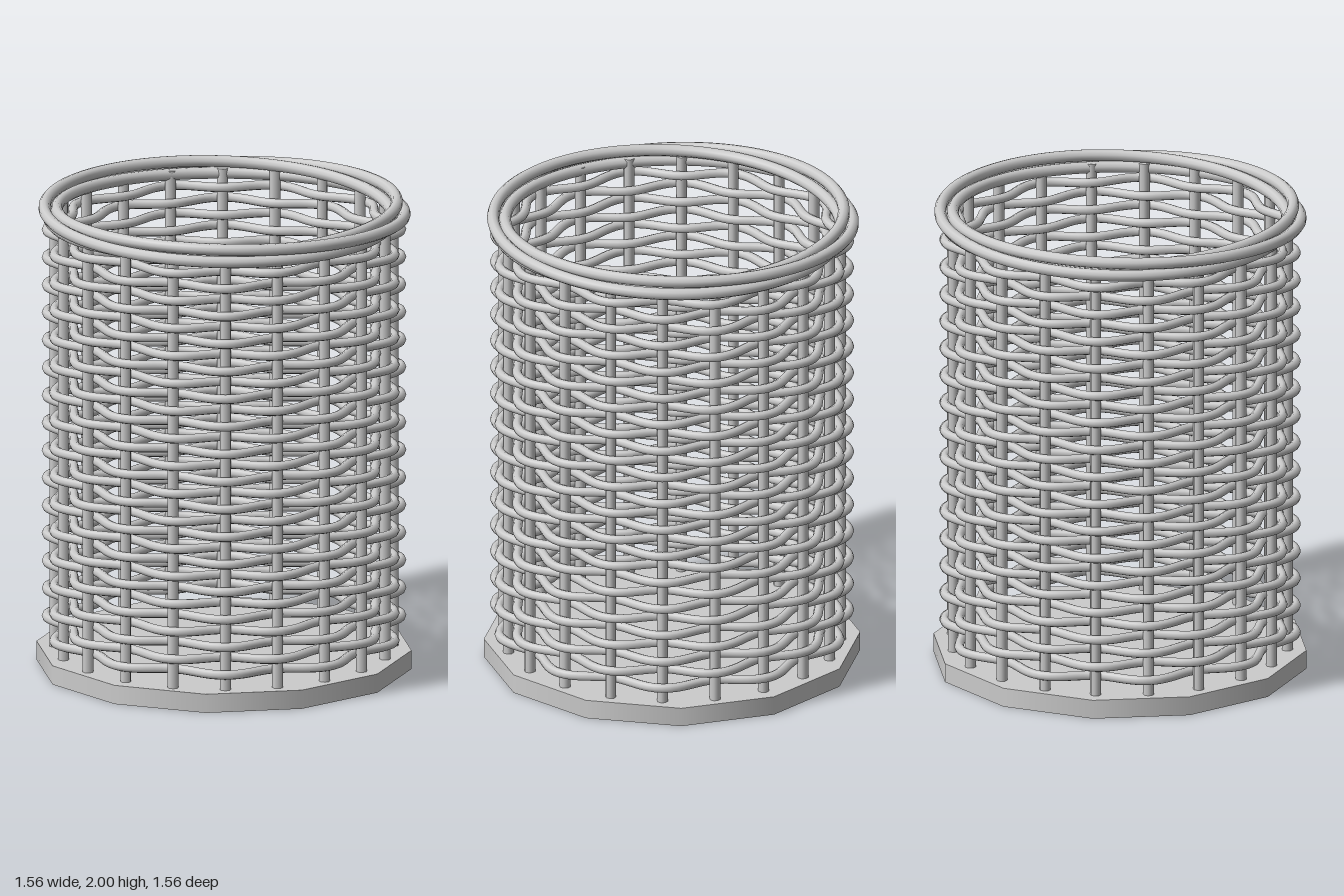
import * as THREE from 'three';

const material = new THREE.MeshStandardMaterial({ color: 0xcccccc });
const STAKES = 20, ROWS = 30, RADIUS = 0.7;

// Closed loop around the y axis; rule(angle) gives [radius, height]
class RingCurve extends THREE.Curve {
  constructor(rule) {
    super();
    this.rule = rule;
  }
  getPoint(t, target = new THREE.Vector3()) {
    const angle = t * Math.PI * 2;
    const [r, y] = this.rule(angle);
    return target.set(r * Math.cos(angle), y, r * Math.sin(angle));
  }
}

function addMesh(parent, name, geometry) {
  const mesh = new THREE.Mesh(geometry, material);
  mesh.name = name;
  parent.add(mesh);
  return mesh;
}

function addGroup(parent, name) {
  const group = new THREE.Group();
  group.name = name;
  parent.add(group);
  return group;
}

function addRing(parent, name, rule, segments, thickness, sides) {
  addMesh(parent, name, new THREE.TubeGeometry(new RingCurve(rule), segments, thickness, sides, true));
}

export function createModel() {
  const basket = new THREE.Group();
  basket.name = 'wickerBasket';

  // Twelve-sided base plate
  addMesh(basket, 'base', new THREE.CylinderGeometry(0.78, 0.78, 0.08, 12)).position.y = 0.04;

  // Upright stakes
  const stakes = addGroup(basket, 'stakes');
  const stakeGeometry = new THREE.CylinderGeometry(0.023, 0.023, 1.88, 8);
  for (let i = 0; i < STAKES; i++) {
    const angle = (i / STAKES) * Math.PI * 2;
    addMesh(stakes, 'stake', stakeGeometry)
      .position.set(RADIUS * Math.cos(angle), 1.0, RADIUS * Math.sin(angle));
  }

  // Woven rows, passing in front of and behind alternate stakes
  const weave = addGroup(basket, 'weave');
  for (let row = 0; row < ROWS; row++) {
    const side = row % 2 ? 1 : -1;
    const y = 0.151 + row * 0.0591;
    const rule = (a) => [RADIUS + side * 0.035 * Math.cos(a * STAKES / 2), y];
    addRing(weave, 'weaveRow', rule, 160, 0.02, 8);
  }

  // Rim of three strands twisted once around the opening
  const rim = addGroup(basket, 'rim');
  for (let k = 0; k < 3; k++) {
    const phase = (k / 3) * Math.PI * 2 + Math.PI / 12;
    const rule = (a) => [0.72 + 0.03 * Math.cos(a + phase), 1.945 + 0.03 * Math.sin(a + phase)];
    addRing(rim, 'rimStrand', rule, 120, 0.025, 10);
  }

  return basket;
}
